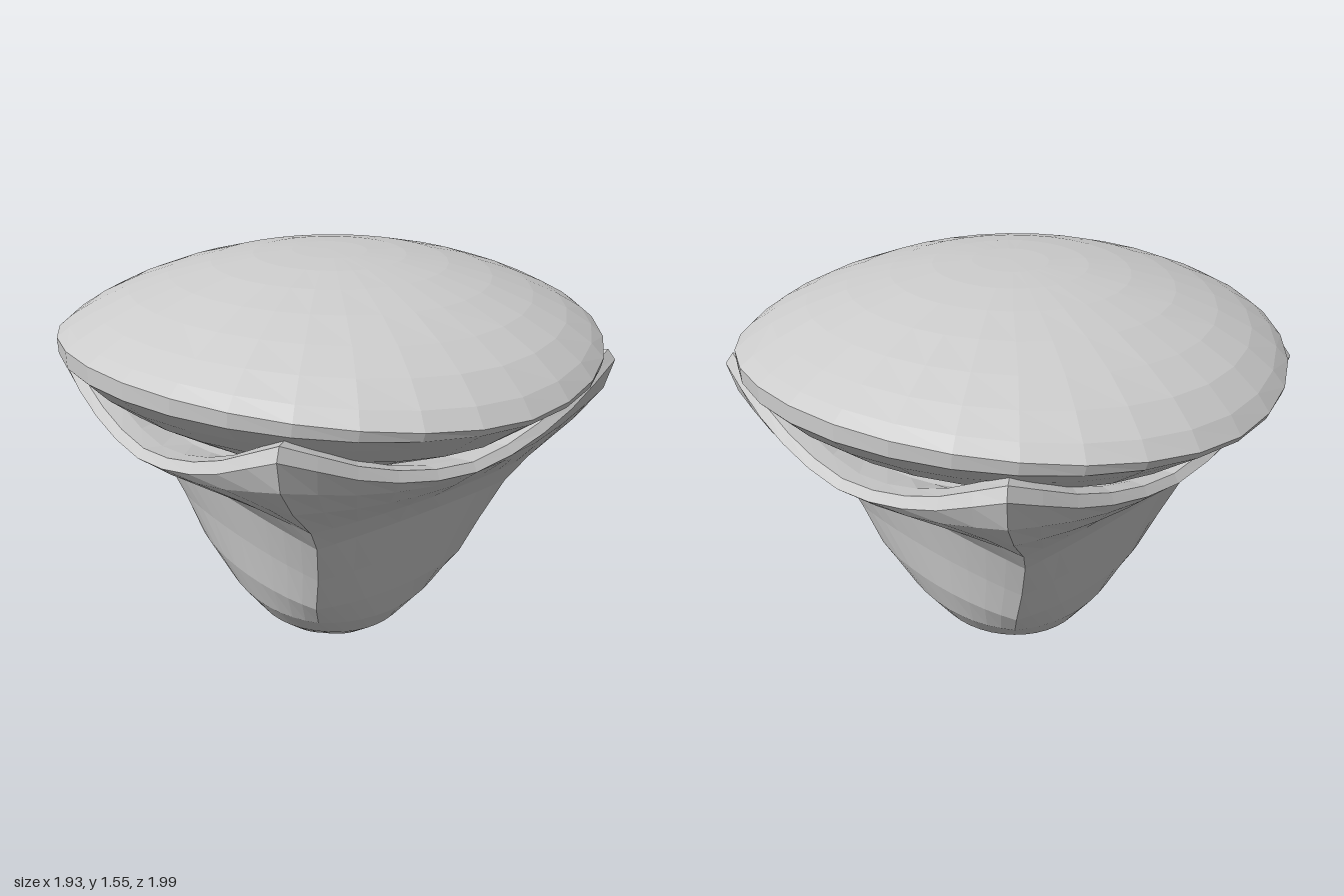
import * as THREE from 'three';

const material = new THREE.MeshStandardMaterial({ color: 0xcccccc, flatShading: true, side: THREE.DoubleSide });

// Skins a stack of closed rings; point(row, j) gives [x, y, z], rows run bottom to top
function loft(rows, segs, point, name) {
  const pos = [], idx = [];
  rows.forEach((row) => {
    for (let j = 0; j < segs; j++) pos.push(...point(row, j));
  });
  for (let i = 0; i < rows.length - 1; i++) {
    for (let j = 0; j < segs; j++) {
      const a = i * segs + j, b = i * segs + (j + 1) % segs;
      idx.push(a, a + segs, b, b, a + segs, b + segs);
    }
  }
  const geo = new THREE.BufferGeometry();
  geo.setAttribute('position', new THREE.Float32BufferAttribute(pos, 3));
  geo.setIndex(idx);
  geo.computeVertexNormals();
  const mesh = new THREE.Mesh(geo, material);
  mesh.name = name;
  return mesh;
}

// Four-sided base: bulging faces meet at creased corners, top rim sweeps up into claws
function createBase() {
  const perSide = 10;
  // half x, half z, corner ratio, y at face centre, y at corner
  const rows = [
    [0, 0, 0.71, 0, 0],
    [0.1, 0.11, 0.71, 0.02, 0.02],
    [0.19, 0.2, 0.72, 0.06, 0.07],
    [0.28, 0.3, 0.76, 0.135, 0.15],
    [0.35, 0.37, 0.84, 0.23, 0.26],
    [0.395, 0.42, 0.89, 0.36, 0.37],
    [0.42, 0.47, 0.93, 0.53, 0.53],
    [0.46, 0.52, 0.97, 0.7, 0.7],
    [0.53, 0.58, 0.96, 0.79, 0.8],
    [0.68, 0.68, 0.94, 0.87, 0.94],
    [0.78, 0.75, 0.93, 0.93, 1.06],
    [0.815, 0.78, 0.92, 0.955, 1.17],
    [0.79, 0.76, 0.92, 0.985, 1.21],
    [0.72, 0.7, 0.93, 0.975, 1.2],
    [0.6, 0.58, 0.9, 0.95, 1.05],
    [0, 0, 0.9, 0.93, 0.93],
  ];
  const point = ([hx, hz, k, yMid, yCorner], j) => {
    const side = Math.floor(j / perSide);
    const t = (j % perSide) / perSide * 2 - 1;
    const across = k * Math.sin(t * Math.PI / 4) / Math.SQRT1_2;
    const out = 1 - (1 - k) * t * t;
    const turn = side * Math.PI / 2;
    const x = across * Math.cos(turn) + out * Math.sin(turn);
    const z = out * Math.cos(turn) - across * Math.sin(turn);
    const lift = Math.min(1, Math.pow(Math.abs(t) * 1.05, 1.65));
    return [x * hx, yMid + (yCorner - yMid) * lift, z * hz];
  };
  return loft(rows, perSide * 4, point, 'clawedBase');
}

// Domed cushion whose rim is higher at the sides than at front and back
function createCushion() {
  const segs = 32;
  // radius x, radius z, y toward the sides, y toward front and back
  const rows = [
    [0, 0, 0.93, 0.93],
    [0.62, 0.65, 0.99, 0.98],
    [0.8, 0.8, 1.1, 1.05],
    [0.9, 0.92, 1.18, 1.14],
    [0.966, 0.985, 1.25, 1.185],
    [0.966, 0.995, 1.31, 1.205],
    [0.92, 0.95, 1.34, 1.265],
    [0.83, 0.86, 1.385, 1.34],
    [0.71, 0.74, 1.435, 1.405],
    [0.57, 0.59, 1.48, 1.465],
    [0.42, 0.43, 1.515, 1.51],
    [0.27, 0.28, 1.538, 1.536],
    [0.13, 0.14, 1.548, 1.548],
    [0, 0, 1.55, 1.55],
  ];
  const point = ([rx, rz, ySide, yEnd], j) => {
    const a = j / segs * Math.PI * 2;
    const s = Math.sin(a);
    return [rx * s, yEnd + (ySide - yEnd) * Math.pow(Math.abs(s), 1.5), rz * Math.cos(a)];
  };
  return loft(rows, segs, point, 'cushion');
}

export function createModel() {
  const group = new THREE.Group();
  group.name = 'cushionOnClawedBase';
  group.add(createBase(), createCushion());
  return group;
}
